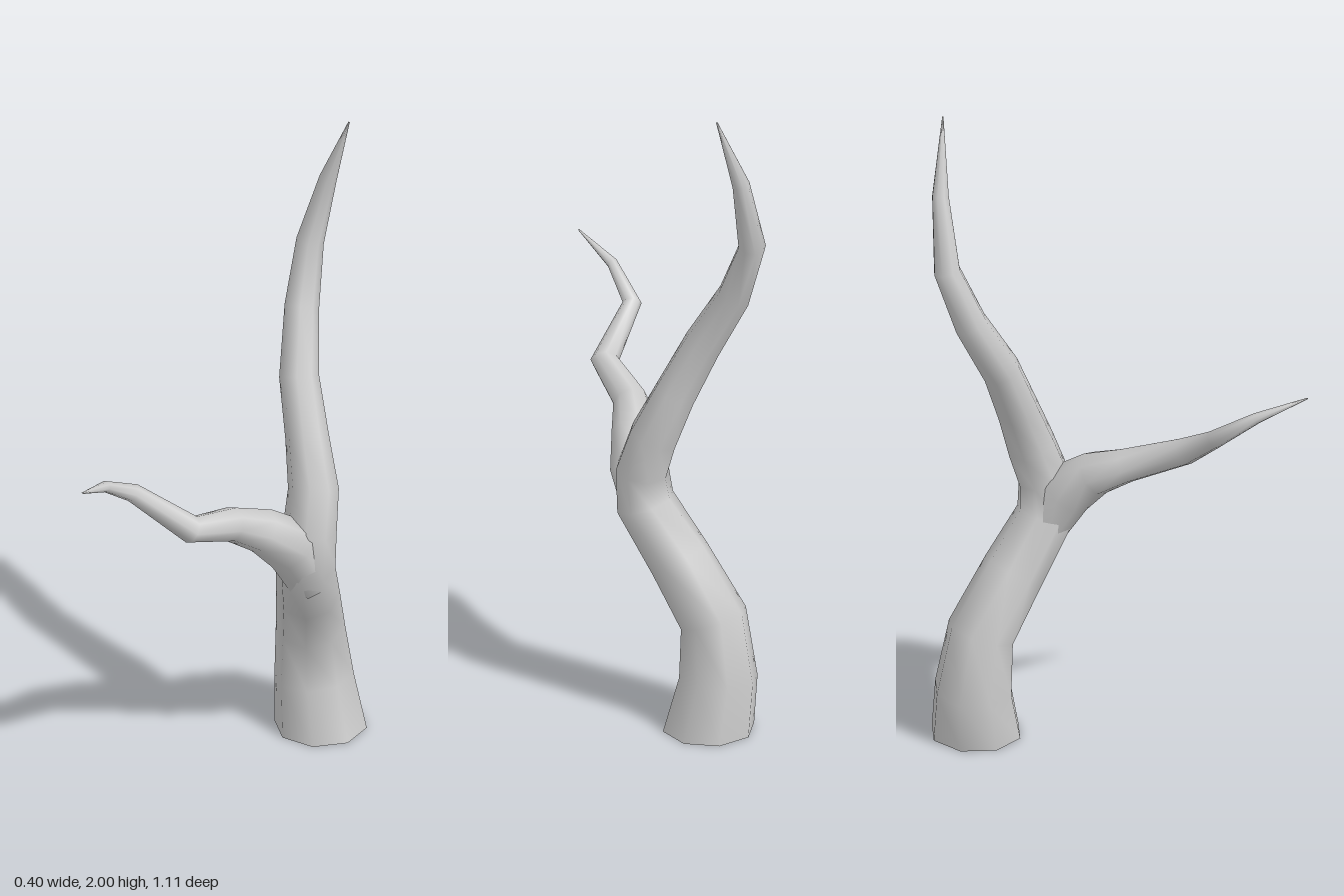
import * as THREE from 'three';

const SIDES = 8;
const material = new THREE.MeshStandardMaterial({ color: 0xcccccc });

// Sweeps an eight-sided ring along stations of [x, y, z, radius].
function limb(name, stations, startDir) {
  const centres = stations.map(s => new THREE.Vector3(s[0], s[1], s[2]));
  const last = centres.length - 1;
  const positions = [], index = [];
  centres.forEach((c, i) => {
    const t = new THREE.Vector3();
    if (i > 0) t.add(c.clone().sub(centres[i - 1]).normalize());
    if (i < last) t.add(centres[i + 1].clone().sub(c).normalize());
    if (i === 0 && startDir) t.copy(startDir);
    t.normalize();
    const u = new THREE.Vector3(1, 0, 0).addScaledVector(t, -t.x).normalize();
    const v = t.clone().cross(u);
    for (let j = 0; j < SIDES; j++) {
      const a = (j / SIDES) * Math.PI * 2;
      const p = c.clone()
        .addScaledVector(u, Math.cos(a) * stations[i][3])
        .addScaledVector(v, Math.sin(a) * stations[i][3]);
      positions.push(p.x, p.y, p.z);
      if (i < last) {
        const k = (j + 1) % SIDES, r = i * SIDES, n = r + SIDES;
        index.push(r + j, r + k, n + j, r + k, n + k, n + j);
      }
    }
  });
  const geometry = new THREE.BufferGeometry();
  geometry.setAttribute('position', new THREE.Float32BufferAttribute(positions, 3));
  geometry.setIndex(index);
  geometry.computeVertexNormals();
  const mesh = new THREE.Mesh(geometry, material);
  mesh.name = name;
  return mesh;
}

export function createModel() {
  const tree = new THREE.Group();
  tree.name = 'bareTree';

  // Trunk curving up into the tall tapering limb
  tree.add(limb('trunk', [
    [-0.04, 0, -0.417, 0.137],
    [-0.07, 0.16, -0.415, 0.118],
    [-0.06, 0.34, -0.395, 0.102],
    [0.025, 0.51, -0.325, 0.094],
    [0.112, 0.67, -0.255, 0.088],
    [0.122, 0.78, -0.262, 0.08],
    [0.095, 0.9, -0.295, 0.075],
    [0.035, 1.04, -0.315, 0.065],
    [-0.04, 1.2, -0.34, 0.059],
    [-0.12, 1.38, -0.407, 0.051],
    [-0.16, 1.56, -0.465, 0.041],
    [-0.118, 1.78, -0.5, 0.026],
    [-0.04, 2, -0.52, 0.002],
  ], new THREE.Vector3(0, 1, 0)));

  // Crooked side branch reaching forward
  tree.add(limb('sideBranch', [
    [0.1, 0.6, -0.28, 0.07],
    [0.118, 0.755, -0.195, 0.085],
    [0.107, 0.83, -0.1, 0.068],
    [0.095, 0.878, 0.0, 0.053],
    [0.133, 0.935, 0.17, 0.042],
    [0.02, 1.05, 0.3, 0.028],
    [0.05, 1.125, 0.42, 0.017],
    [0.12, 1.18, 0.555, 0.002],
  ]));

  // Flat cut face under the trunk
  const base = new THREE.Mesh(
    new THREE.CircleGeometry(0.137, SIDES).rotateX(Math.PI / 2), material);
  base.position.set(-0.04, 0, -0.417);
  base.name = 'trunkBase';
  tree.add(base);

  return tree;
}
